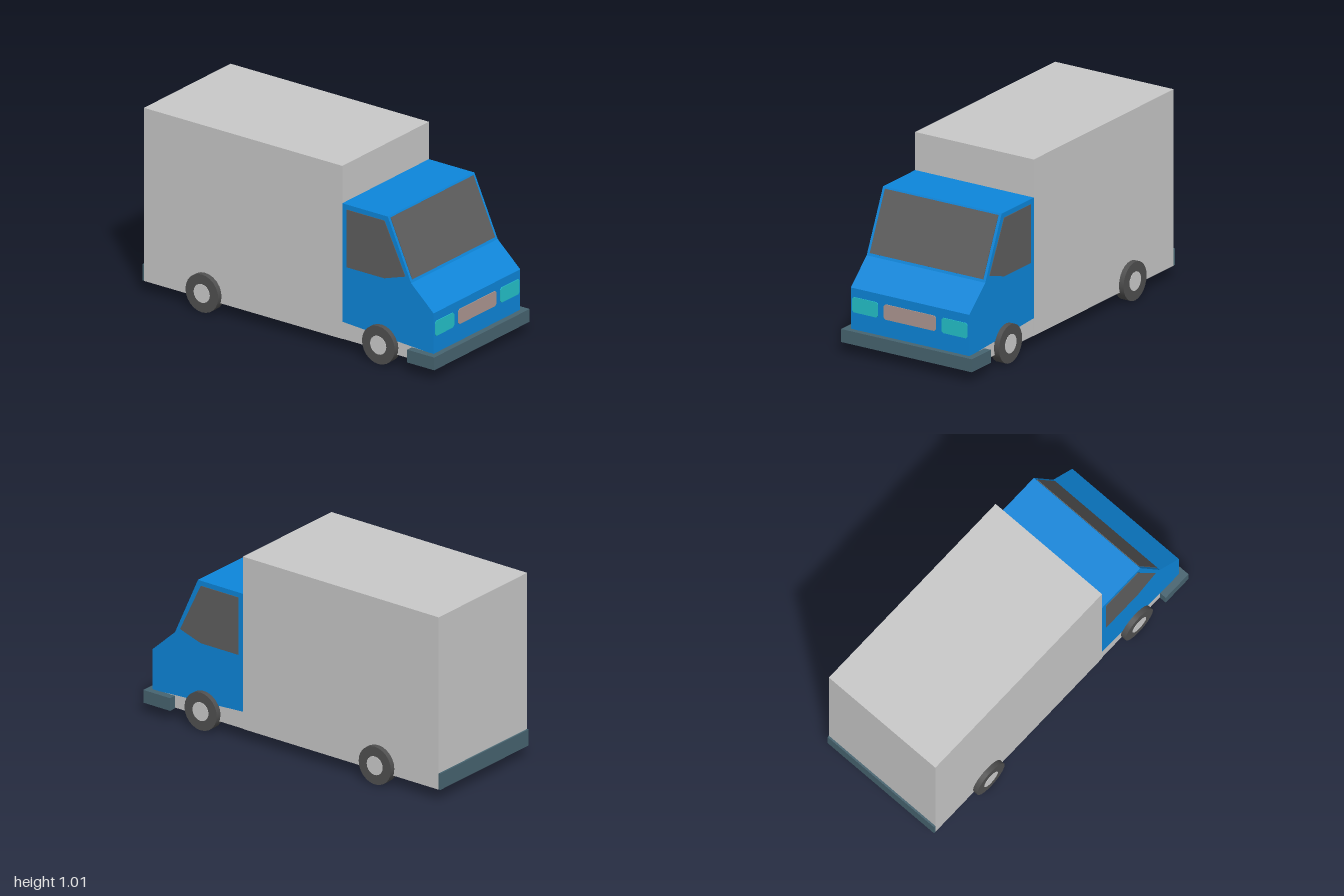
import * as THREE from 'three';

const mat = (name, color) => Object.assign(new THREE.MeshStandardMaterial({ color }), { name });

export function createModel() {
  const grey = mat('cargo grey', 0xc8c8c8);
  const blue = mat('cab blue', 0x0d86da);
  const glass = mat('dark glass', 0x5e5e5e);
  const tyre = mat('tyre grey', 0x505050);
  const hub = mat('hub grey', 0xcccccc);
  const steel = mat('bumper slate', 0x476470);
  const lamp = mat('lamp turquoise', 0x24c2cb);
  const grilleMat = mat('grille taupe', 0xae9892);

  // The truck points along +x in its own frame, then is turned slightly
  const truck = new THREE.Group();
  truck.name = 'truck';
  truck.rotation.y = 0.2147;
  truck.position.set(0.003, 0, 0.013);

  const W = 0.363; // half width of the body

  const add = (name, geometry, material, x = 0, y = 0, z = 0) => {
    const mesh = new THREE.Mesh(geometry, material);
    mesh.name = name;
    mesh.position.set(x, y, z);
    truck.add(mesh);
    return mesh;
  };
  // Box given by its limits along each axis
  const block = (name, material, x0, x1, y0, y1, z0, z1) =>
    add(name, new THREE.BoxGeometry(x1 - x0, y1 - y0, z1 - z0), material,
      (x0 + x1) / 2, (y0 + y1) / 2, (z0 + z1) / 2);
  // Outline in x and y, extruded about z = 0
  const slab = (points, depth) => {
    const shape = new THREE.Shape(points.map(([x, y]) => new THREE.Vector2(x, y)));
    return new THREE.ExtrudeGeometry(shape, { depth, bevelEnabled: false }).translate(0, 0, -depth / 2);
  };

  // Cargo box and the sill under the cab, both with a blue underside
  const greyOverBlue = [grey, grey, grey, blue, grey, grey];
  block('cargoBox', greyOverBlue, -0.94, 0.32, 0.065, 1.015, -W, W);
  block('chassis', greyOverBlue, 0.32, 0.895, 0.065, 0.16, -W + 0.003, W - 0.003);

  // Cab
  add('cab', slab([[0.32, 0.16], [0.897, 0.128], [0.9, 0.128], [0.9, 0.352],
    [0.757, 0.482], [0.609, 0.81], [0.32, 0.81]], 2 * W), blue);

  // Windscreen lying on the sloping front of the cab
  const screen = add('windscreen', new THREE.BoxGeometry(0.006, 0.335, 0.694), glass, 0.682, 0.648, 0);
  screen.rotation.z = Math.atan2(0.148, 0.328);

  // Side windows
  const windowShape = [[0.348, 0.467], [0.589, 0.467], [0.722, 0.51], [0.589, 0.783], [0.348, 0.783]];
  for (const s of [-1, 1]) add('sideWindow', slab(windowShape, 0.006), glass, 0, 0, s * W);

  // Nose plates with clipped corners
  const nosePlate = (name, material, width, z) => {
    const w = width / 2, h = 0.041, c = 0.01;
    const points = [[-w + c, -h], [w - c, -h], [w, -h + c], [w, h - c],
      [w - c, h], [-w + c, h], [-w, h - c], [-w, -h + c]];
    add(name, slab(points, 0.008), material, 0.9, 0.264, z).rotation.y = Math.PI / 2;
  };
  nosePlate('grille', grilleMat, 0.318, 0);
  for (const s of [-1, 1]) nosePlate('headlamp', lamp, 0.158, s * 0.274);

  // Front bumper wrapping round the corners, and a flat rear bumper
  block('frontBumper', steel, 0.895, 0.932, 0.06, 0.13, -0.4, 0.4);
  block('bumperEndLeft', steel, 0.76, 0.895, 0.06, 0.13, -0.4, -W + 0.003);
  block('bumperEndRight', steel, 0.76, 0.895, 0.06, 0.13, W - 0.003, 0.4);
  block('rearBumper', steel, -0.95, -0.94, 0.066, 0.155, -W, W);

  // Wheels with flat hub caps
  for (const x of [-0.551, 0.57]) {
    for (const s of [-1, 1]) {
      const wheel = new THREE.CylinderGeometry(0.104, 0.104, 0.053, 24).rotateX(Math.PI / 2);
      add('wheel', wheel, tyre, x, 0.104, s * 0.3645);
      const cap = new THREE.CylinderGeometry(0.051, 0.051, 0.006, 20).rotateX(Math.PI / 2);
      add('hubCap', cap, hub, x, 0.104, s * 0.39);
    }
  }

  const root = new THREE.Group();
  root.name = 'boxTruck';
  root.add(truck);
  return root;
}
